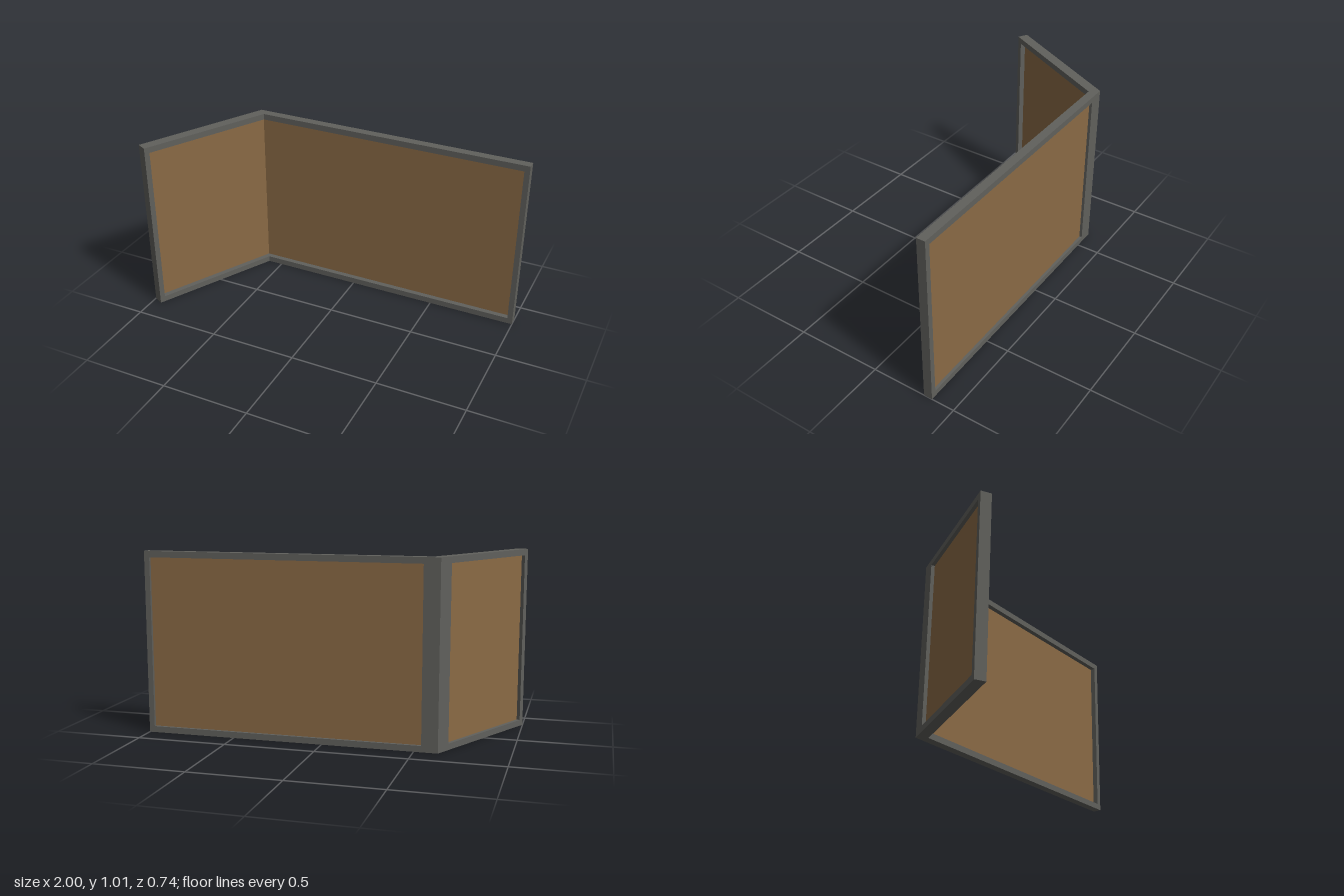
import * as THREE from 'three';

export function createModel() {
  const group = new THREE.Group();
  group.name = 'angledScreen';
  const frameMat = new THREE.MeshStandardMaterial({ color: 0x60605c });
  frameMat.name = 'frame grey';
  const panelMat = new THREE.MeshStandardMaterial({ color: 0x8a6a45 });
  panelMat.name = 'panel brown';

  // Plan layout: outer corner, long wall along +x, short wall running forward
  const cx = -0.628, cz = -0.368;
  const longLen = 1.628, shortLen = 0.8;
  const dx = -0.464, dz = 0.886;
  const longT = 0.05, shortT = 0.06;
  const height = 1.012, rail = 0.034, post = 0.03;

  // Plan points by distance from the corner and depth from the outer face
  const onLong = (s, d) => [cx + s, cz + d];
  const onShort = (s, d) => [cx + s * dx + d * dz, cz + s * dz - d * dx];
  const corner = (dl, ds) => onShort((dl + ds * dx) / dz, ds);

  // Upright prism from a plan outline
  function prism(name, outline, y0, y1, material) {
    const shape = new THREE.Shape(outline.map(([x, z]) => new THREE.Vector2(x, -z)));
    const geometry = new THREE.ExtrudeGeometry(shape, { depth: y1 - y0, bevelEnabled: false });
    geometry.rotateX(-Math.PI / 2);
    geometry.translate(0, y0, 0);
    const mesh = new THREE.Mesh(geometry, material);
    mesh.name = name;
    group.add(mesh);
  }

  // Bent bottom and top rails
  const bent = [
    [cx, cz], onLong(longLen, 0), onLong(longLen, longT),
    corner(longT, shortT), onShort(shortLen, shortT), onShort(shortLen, 0),
  ];
  prism('bottomRail', bent, 0, rail, frameMat);
  prism('topRail', bent, height - rail, height, frameMat);

  // End posts
  const y0 = rail, y1 = height - rail;
  const strip = (on, a, b, t) => [on(a, 0), on(b, 0), on(b, t), on(a, t)];
  prism('longWallEndPost', strip(onLong, longLen - post, longLen, longT), y0, y1, frameMat);
  prism('shortWallEndPost', strip(onShort, shortLen - post, shortLen, shortT), y0, y1, frameMat);

  // Corner post, hidden behind the panels on the inner side
  prism('cornerPost', [
    [cx, cz], onLong(0.088, 0), onLong(0.088, 0.018),
    corner(0.018, 0.025), onShort(0.09, 0.025), onShort(0.09, 0),
  ], y0, y1, frameMat);

  // Recessed panels, mitred where they meet
  const inner = corner(0.02, 0.03), outer = corner(0.016, 0.02);
  prism('longPanel', [
    outer, onLong(longLen - post, 0.016), onLong(longLen - post, 0.02), inner,
  ], y0, y1, panelMat);
  prism('shortPanel', [
    outer, onShort(shortLen - post, 0.02), onShort(shortLen - post, 0.03), inner,
  ], y0, y1, panelMat);

  return group;
}
